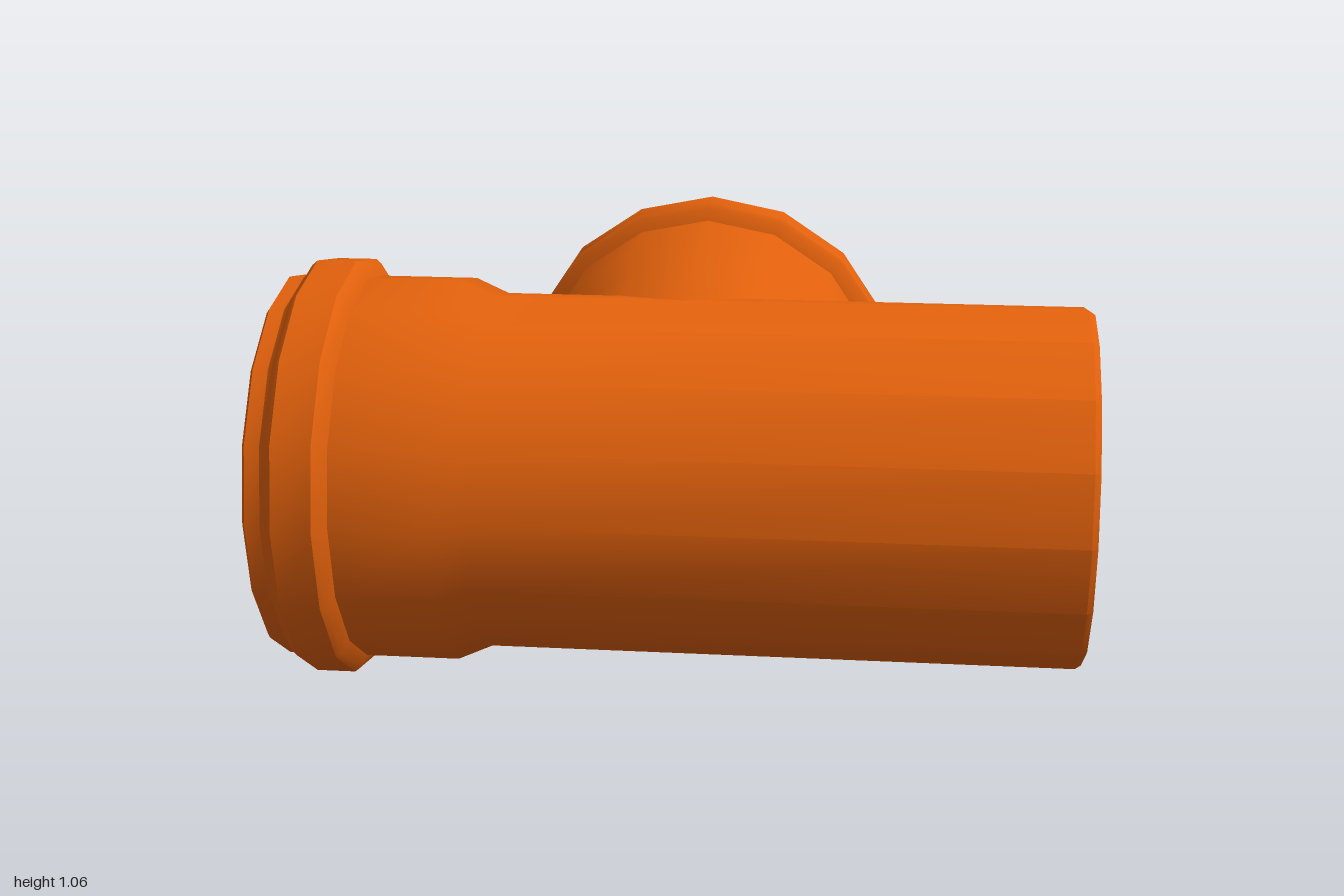
import * as THREE from 'three';
import { toCreasedNormals } from 'three/addons/utils/BufferGeometryUtils.js';

const SIDES = 16;
const AXIS_Y = 0.53; // height of both pipe axes
const AXIS_Z = 0.225; // depth of the main pipe axis

// Turns a [radius, distance] profile into a 16-sided pipe, smooth round and crisp at ridges
function pipe(name, profile, material) {
  const points = profile.map(([r, d]) => new THREE.Vector2(r, d));
  const geometry = toCreasedNormals(new THREE.LatheGeometry(points, SIDES), 0.6);
  const mesh = new THREE.Mesh(geometry, material);
  mesh.name = name;
  return mesh;
}

// Socket seen from its mouth inward: closed face, lip, seal ridge, sleeve, taper to the pipe
const socket = (pipeRadius) => [
  [0, 0], [0.475, 0], [0.487, 0.008], [0.487, 0.045], [0.5, 0.06], [0.518, 0.068],
  [0.53, 0.082], [0.53, 0.18], [0.519, 0.193], [0.487, 0.208],
  [0.487, 0.445], [pipeRadius, 0.53],
];

export function createModel() {
  const group = new THREE.Group();
  group.name = 'pipeTee';
  const material = new THREE.MeshStandardMaterial({ color: 0xe0600c });

  // Main pipe along x: socket on the right end, plain chamfered spigot on the left end
  const mainProfile = [
    ...socket(0.45).map(([r, d]) => [r, d - 1]),
    [0.45, 0.985], [0.44, 1], [0, 1],
  ];
  const main = pipe('mainPipe', mainProfile, material);
  main.rotation.z = -Math.PI / 2;
  main.position.set(0, AXIS_Y, AXIS_Z);
  group.add(main);

  // Branch pipe towards the back, mitred into the main pipe, ending in a socket
  const branchProfile = [
    [0.448, -AXIS_Z],
    ...socket(0.448).map(([r, d]) => [r, 0.757 - d]).reverse(),
  ];
  const branch = pipe('branchPipe', branchProfile, material);
  branch.rotation.x = -Math.PI / 2;
  branch.position.set(-0.015, AXIS_Y, 0);
  group.add(branch);

  return group;
}
